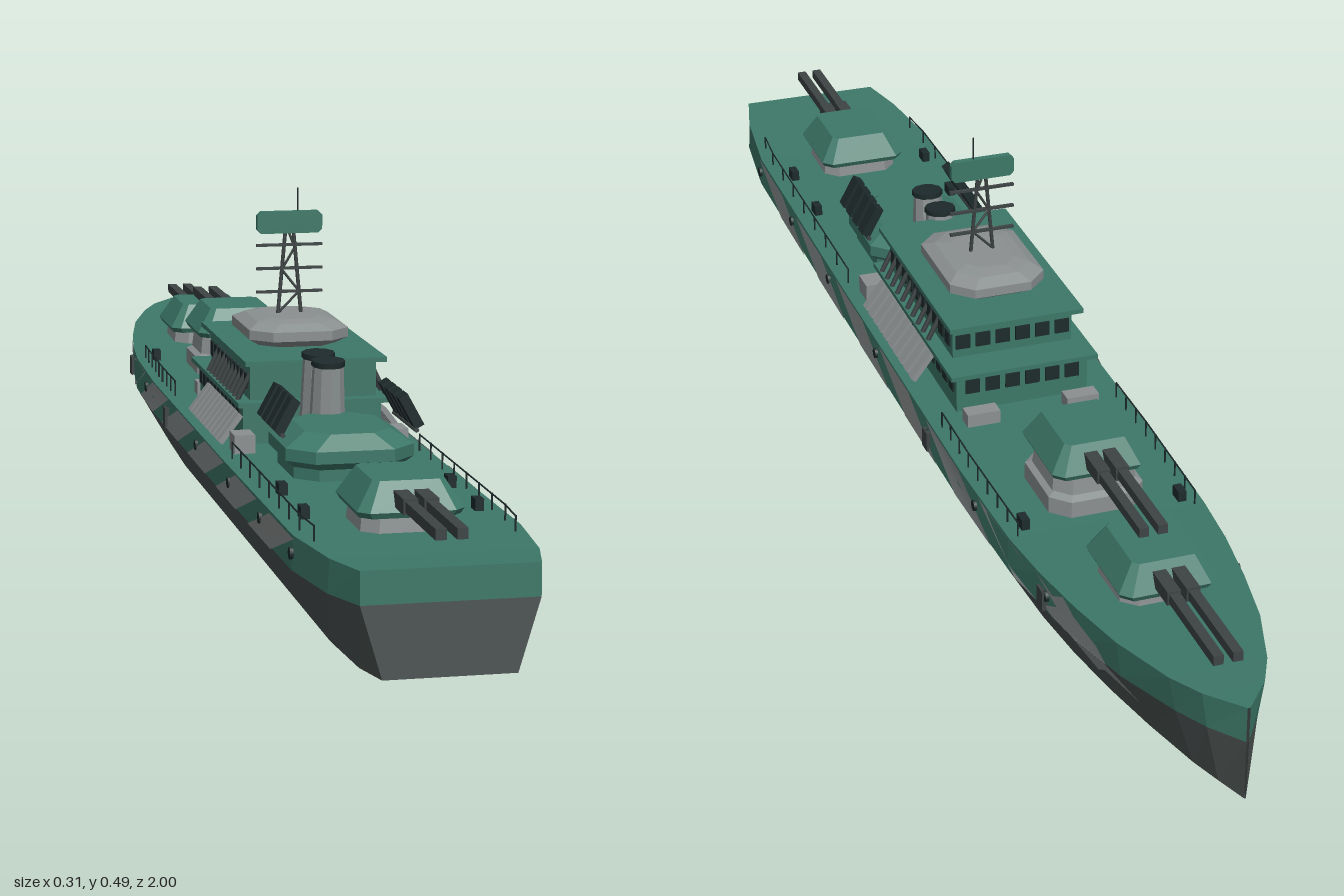
import * as THREE from 'three';

const paint = (name, color) => new THREE.MeshStandardMaterial({ name, color, side: THREE.DoubleSide });

// Hull stations: z, bottom half width, bottom y, waterline half width, waterline y, deck half width, deck y
const stations = [
  [1, .085, .01, .113, .104, .113, .147], [.92, .095, .004, .135, .1, .133, .144],
  [.78, .1, 0, .151, .096, .149, .141], [.3, .1, 0, .152, .091, .15, .138],
  [-.3, .1, 0, .152, .09, .15, .138], [-.5, .093, 0, .146, .091, .145, .141],
  [-.6, .084, .003, .134, .092, .136, .144], [-.7, .07, .006, .117, .094, .121, .147],
  [-.8, .052, .01, .094, .097, .101, .151], [-.9, .03, .014, .058, .102, .068, .155],
  [-.95, .016, .017, .035, .105, .043, .158], [-1, .001, .02, .002, .108, .002, .16],
];

// Hull values at any z
function sectionAt(z) {
  let i = 0;
  while (i < stations.length - 2 && stations[i + 1][0] > z) i++;
  const a = stations[i], b = stations[i + 1], t = (a[0] - z) / (a[0] - b[0]);
  return a.map((v, k) => v + (b[k] - v) * t);
}
function sideX(z, y) {
  const [, bx, by, wx, wy, dx, dy] = sectionAt(z);
  return y < wy ? bx + (wx - bx) * (y - by) / (wy - by) : wx + (dx - wx) * (y - wy) / (dy - wy);
}

function faceted(points) {
  const g = new THREE.BufferGeometry();
  g.setAttribute('position', new THREE.Float32BufferAttribute(points.flat(), 3));
  g.computeVertexNormals();
  return g;
}

// Skin between two edge lines of the hull
function skin(lineA, lineB) {
  const p = [];
  for (let i = 0; i < stations.length - 1; i++) {
    const a0 = lineA(stations[i]), a1 = lineA(stations[i + 1]);
    const b0 = lineB(stations[i]), b1 = lineB(stations[i + 1]);
    p.push(a0, a1, b1, a0, b1, b0);
  }
  return faceted(p);
}

// Stack of chamfered rectangles: [y, half x, half z, chamfer]
function stack(rings) {
  const loops = rings.map(([y, x, z, c]) => [
    [x, y, z - c], [x, y, c - z], [x - c, y, -z], [c - x, y, -z],
    [-x, y, c - z], [-x, y, z - c], [c - x, y, z], [x - c, y, z]]);
  const p = [], last = loops.length - 1;
  for (let i = 0; i < 8; i++) {
    const j = (i + 1) % 8;
    for (let k = 0; k < last; k++) {
      const a = loops[k], b = loops[k + 1];
      p.push(a[i], a[j], b[j], a[i], b[j], b[i]);
    }
    p.push([0, rings[last][0], 0], loops[last][i], loops[last][j]);
    p.push([0, rings[0][0], 0], loops[0][j], loops[0][i]);
  }
  return faceted(p);
}

export function createModel() {
  const ship = new THREE.Group();
  ship.name = 'warship';
  const green = paint('sea green', 0x3d7868), hullGrey = paint('hull grey', 0x4d5453);
  const grey = paint('light grey', 0x8b9090), steel = paint('gun steel', 0x3d4344);
  const dark = paint('dark glass', 0x1d2a2b);

  const add = (name, geo, mat, x = 0, y = 0, z = 0, parent = ship) => {
    const m = new THREE.Mesh(geo, mat);
    m.name = name;
    m.position.set(x, y, z);
    parent.add(m);
    return m;
  };
  const box = (name, w, h, d, mat, x, y, z, parent) =>
    add(name, new THREE.BoxGeometry(w, h, d), mat, x, y, z, parent);
  const rod = (name, a, b, r, mat) => {
    const va = new THREE.Vector3(...a), vb = new THREE.Vector3(...b), d = vb.clone().sub(va);
    const m = add(name, new THREE.CylinderGeometry(r, r, d.length(), 5), mat);
    m.position.copy(va.add(vb).multiplyScalar(.5));
    m.quaternion.setFromUnitVectors(new THREE.Vector3(0, 1, 0), d.normalize());
    return m;
  };

  // Hull
  const edge = (s, k) => st => [s * st[k], st[k + 1], st[0]];
  add('keelBottom', skin(edge(-1, 1), edge(1, 1)), hullGrey);
  add('lowerHullLeft', skin(edge(1, 1), edge(1, 3)), hullGrey);
  add('lowerHullRight', skin(edge(-1, 3), edge(-1, 1)), hullGrey);
  add('upperHullLeft', skin(edge(1, 3), edge(1, 5)), green);
  add('upperHullRight', skin(edge(-1, 5), edge(-1, 3)), green);
  add('deck', skin(edge(1, 5), edge(-1, 5)), green);
  const end = k => [edge(-1, k)(stations[0]), edge(1, k)(stations[0])];
  const [bl, br] = end(1), [wl, wr] = end(3), [dl, dr] = end(5);
  add('lowerTransom', faceted([bl, br, wr, bl, wr, wl]), hullGrey);
  add('upperTransom', faceted([wl, wr, dr, wl, dr, dl]), green);

  // Camouflage plates following the hull sides
  const patch = (outline, s) => {
    const g = new THREE.ShapeGeometry(new THREE.Shape(outline.map(q => new THREE.Vector2(...q))));
    const p = g.attributes.position;
    for (let i = 0; i < p.count; i++) {
      const z = p.getX(i), y = p.getY(i);
      p.setXYZ(i, s * (sideX(z, y) + .002), y, z);
    }
    // wind the faces so that they look outward
    if (s > 0) g.index.array.reverse();
    g.computeVertexNormals();
    add('camouflagePatch', g, grey);
  };
  for (const s of [1, -1]) {
    for (let i = 0; i < 6; i++) {
      const z = .79 - i * .235;
      patch([[z, .138], [z - .15, .138], [z - .29, .092], [z - .14, .092]], s);
    }
    patch([[-.59, .143], [-.65, .118], [-.61, .098], [-.68, .094], [-.7, .094],
      [-.77, .096], [-.75, .115], [-.7, .13], [-.67, .146], [-.64, .13]], s);
    patch([[-.68, .093], [-.72, .055], [-.75, .075], [-.82, .062], [-.77, .095], [-.7, .093]], s);
    // Portholes and anchors
    for (const z of [.78, .58, .36, .1, -.16, -.37, -.62]) {
      const port = add('porthole', new THREE.CylinderGeometry(.008, .008, .008, 8), dark, s * sideX(z, .118), .118, z);
      port.rotation.z = Math.PI / 2;
    }
    for (const z of [-.16, -.61]) box('anchor', .008, .03, .022, steel, s * (sideX(z, .11) + .002), .11, z);
  }

  // Gun turrets: dir +1 points aft, -1 points to the bow
  const turret = (z, y, dir) => {
    const t = new THREE.Group();
    t.name = 'gunTurret';
    t.position.set(0, y, z);
    t.rotation.y = dir > 0 ? 0 : Math.PI;
    ship.add(t);
    add('turretRing', stack([[-.03, .062, .062, .02], [.005, .058, .058, .02]]), grey, 0, 0, 0, t);
    add('turretBody', stack([[0, .066, .072, .014], [.008, .07, .076, .014], [.045, .047, .055, .008]]), green, 0, 0, 0, t);
    for (const s of [1, -1]) {
      box('barrel', .014, .014, .215, steel, s * .0135, .024, .158, t);
      box('barrelSleeve', .019, .02, .06, steel, s * .0135, .024, .085, t);
    }
  };
  turret(.735, .163, 1);
  turret(-.665, .165, -1);
  turret(-.405, .2, -1);
  add('barbette', stack([[.135, .07, .075, .025], [.165, .07, .075, .025], [.17, .06, .064, .02], [.2, .056, .06, .02]]), grey, 0, 0, -.405);

  // Bridge levels and their roof slabs
  box('lowerBridge', .204, .065, .35, green, 0, .168, .03);
  box('lowerBridgeRoof', .228, .007, .39, green, 0, .2, .037);
  box('upperBridge', .186, .055, .31, green, 0, .23, .055);
  box('upperBridgeRoof', .208, .007, .355, green, 0, .26, .055);
  for (const [y, hx, zf, n] of [[.178, .102, -.145, 11], [.229, .093, -.1, 10]]) {
    for (let i = 0; i < 6; i++) box('frontWindow', .022, .022, .004, dark, (i - 2.5) * .031, y, zf - .001);
    for (const s of [1, -1]) for (let i = 0; i < n; i++)
      box('sideWindow', .004, .022, .02, dark, s * (hx + .001), y, zf + .02 + i * .03);
  }
  // Slanted racks along the bridge
  for (const s of [1, -1]) {
    for (let i = 0; i < 10; i++) {
      const z = .2 - i * .026;
      const r = box('deckRack', .008, .05, .018, grey, s * .121, .162, z);
      r.rotation.z = s * .65;
      rod('bridgeStrut', [s * .11, .203, z], [s * .085, .252, z], .004, steel);
    }
    box('deckLocker', .03, .03, .04, grey, s * .112, .15, .25);
    box('foredeckLocker', .05, .02, .025, grey, s * .077, .15, -.185);
  }
  // Domed bridge top
  add('bridgeDome', stack([[.262, .055, .08, .025], [.274, .074, .1, .03], [.288, .074, .1, .03],
    [.297, .058, .08, .028], [.301, .038, .058, .02]]), grey, 0, 0, .04);

  // Lattice mast with radar panel
  const legX = y => .018 - (y - .3) * .1;
  for (const s of [1, -1]) {
    rod('mastLeg', [s * .018, .295, .04], [s * .006, .425, .04], .003, steel);
    for (let i = 0; i < 4; i++) {
      const y = .3 + i * .033, side = i % 2 ? s : -s;
      if (s > 0) rod('mastBrace', [side * legX(y), y, .04], [-side * legX(y + .033), y + .033, .04], .002, steel);
    }
  }
  for (const y of [.333, .368, .403]) box('mastYard', .1, .004, .005, steel, 0, y, .04);
  const panel = add('radarPanel', stack([[-.005, .049, .0165, .006], [.005, .049, .0165, .006]]), green, 0, .437, .04);
  panel.rotation.x = Math.PI / 2;
  rod('antenna', [.013, .45, .04], [.013, .488, .04], .0013, dark);

  // Raked funnels
  for (const z of [.24, .305]) {
    const f = new THREE.Group();
    f.name = 'funnel';
    f.position.set(0, .13, z - .005);
    f.rotation.x = .07;
    ship.add(f);
    const pipe = new THREE.CylinderGeometry(.022, .028, .14, 10).toNonIndexed();
    pipe.computeVertexNormals();
    add('funnelPipe', pipe, grey, 0, .07, 0, f);
    add('funnelCap', new THREE.CylinderGeometry(.024, .024, .008, 10), dark, 0, .143, 0, f);
  }

  // Aft deckhouse with slanted launch tubes
  add('aftDeckhouse', stack([[.135, .078, .085, .03], [.155, .078, .085, .03], [.165, .09, .095, .035],
    [.182, .09, .095, .035], [.202, .06, .075, .03]]), green, 0, 0, .39);
  for (const s of [1, -1]) {
    for (let i = 0; i < 4; i++) {
      const tube = box('launchTube', .014, .05, .024, dark, s * .087, .226, .335 + i * .034);
      tube.rotation.z = s * .5;
    }
    rod('tubeRail', [s * .094, .2, .32], [s * .094, .2, .45], .004, steel);
  }

  // Deck fittings and railings
  for (const s of [1, -1]) {
    for (const z of [.69, .55, -.48]) box('bollard', .012, .016, .022, dark, s * .116, .15, z);
    for (const [z0, z1] of [[.82, .3], [-.18, -.5]]) {
      const n = 8, at = i => z0 + (z1 - z0) * i / n;
      for (let i = 0; i <= n; i++) {
        const x = s * (sideX(at(i), .138) - .014);
        rod('railPost', [x, .137, at(i)], [x, .163, at(i)], .0014, dark);
        if (i < n) rod('railBar', [x, .162, at(i)], [s * (sideX(at(i + 1), .138) - .014), .162, at(i + 1)], .0012, dark);
      }
    }
  }
  return ship;
}
